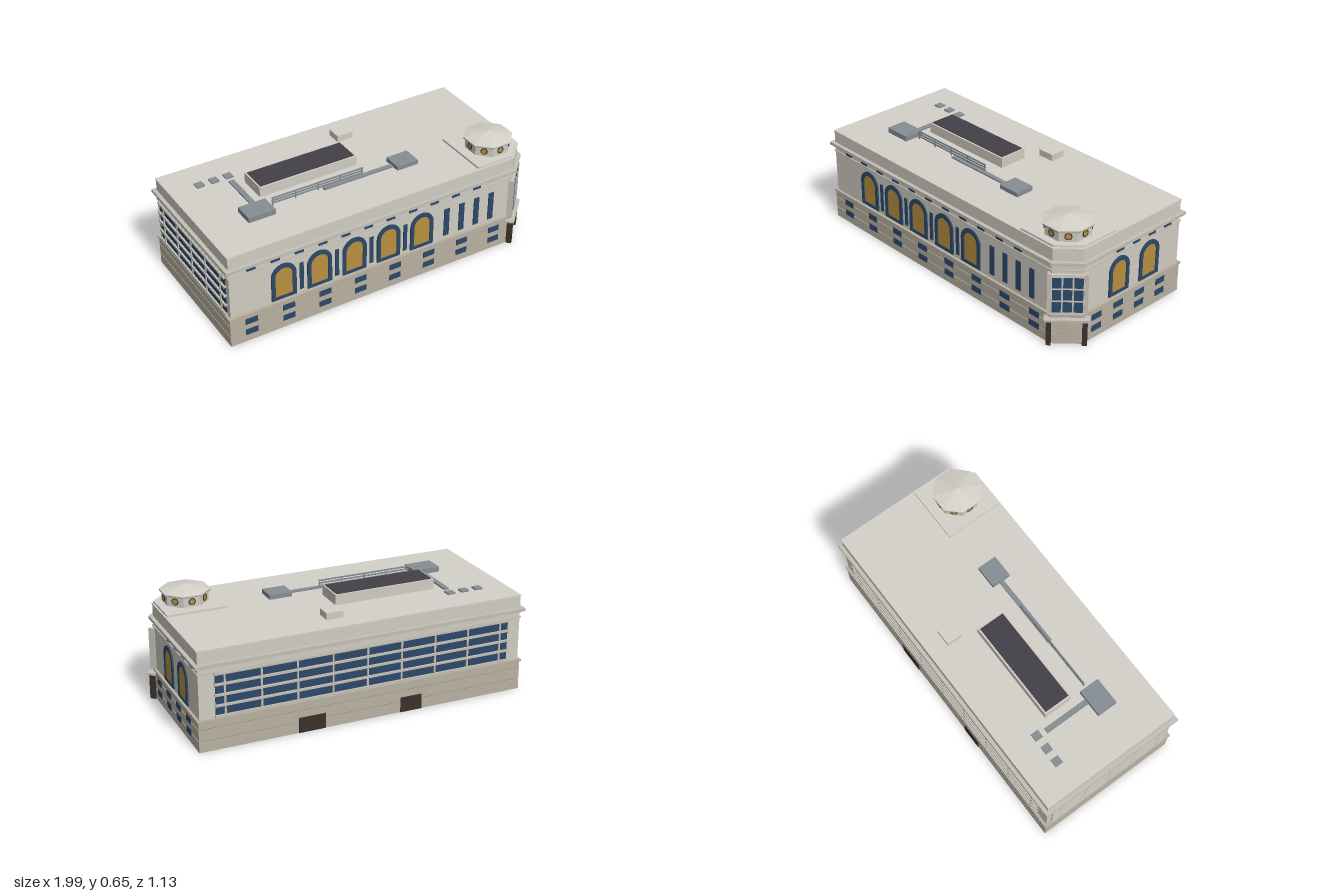
import * as THREE from 'three';

const C = { stone: 0xd0ccc2, base: 0xb9b1a1, groove: 0x8f8878, trim: 0xc4c0b6, roof: 0xd4d1c9, blue: 0x2c4869,
  gold: 0xb88f3e, dark: 0x434147, steel: 0x868d94, door: 0x39302a };
const mats = {};
const mat = (c) => (mats[c] ??= new THREE.MeshStandardMaterial({ color: C[c], flatShading: true }));

function add(parent, name, geo, color, x = 0, y = 0, z = 0) {
  const m = new THREE.Mesh(geo, mat(color));
  m.name = name;
  m.position.set(x, y, z);
  parent.add(m);
  return m;
}
// box given by its centre in x and z and its bottom and top
const box = (p, name, color, x, z, w, d, y0, y1) =>
  add(p, name, new THREE.BoxGeometry(w, y1 - y0, d), color, x, (y0 + y1) / 2, z);

// horizontal slab from [x, z] corners
function slab(p, name, color, pts, y0, y1) {
  const shape = new THREE.Shape(pts.map(([x, z]) => new THREE.Vector2(x, -z)));
  const g = new THREE.ExtrudeGeometry(shape, { depth: y1 - y0, bevelEnabled: false });
  return add(p, name, g.rotateX(-Math.PI / 2), color, 0, y0);
}
// rectangle with one cut corner at +x +z
const cutRect = (x0, x1, z0, z1, c) => [[x0, z1], [x1 - c, z1], [x1, z1 - c], [x1, z0], [x0, z0]];
const footprint = (i) => cutRect(-0.946 + i, 0.928 - i, -0.428 + i, 0.428 - i, 0.12 - 0.586 * i);

// arch outline standing on y0, with a round top
function archPath(Type, w, y0, y1) {
  const r = w / 2, s = new Type();
  s.moveTo(-r, y0);
  s.lineTo(r, y0);
  s.lineTo(r, y1 - r);
  s.absarc(0, y1 - r, r, 0, Math.PI, false);
  s.lineTo(-r, y0);
  return s;
}
function archWindow(p, x) {
  const frame = archPath(THREE.Shape, 0.143, 0.186, 0.4);
  frame.holes.push(archPath(THREE.Path, 0.1, 0.203, 0.376));
  const opts = (depth) => ({ depth, bevelEnabled: false, curveSegments: 16 });
  add(p, 'archFrame', new THREE.ExtrudeGeometry(frame, opts(0.012)), 'blue', x, 0, -0.004);
  add(p, 'archPane', new THREE.ExtrudeGeometry(archPath(THREE.Shape, 0.104, 0.2, 0.378), opts(0.007)), 'gold', x, 0, -0.004);
}
const pane = (p, name, x, w, y0, y1, out = 0) => box(p, name, 'blue', x, out, w, 0.01, y0, y1);

// group lying on a wall: local +z points outward
function wall(p, name, angle, dist) {
  const g = new THREE.Group();
  g.name = name;
  g.rotation.y = angle;
  g.position.set(Math.sin(angle) * dist, 0, Math.cos(angle) * dist);
  p.add(g);
  return g;
}

// large glazed wall with sills and mullions
function glazing(p, x0, x1, columns) {
  const mid = (x0 + x1) / 2, w = x1 - x0;
  pane(p, 'curtainGlass', mid, w, 0.185, 0.42);
  for (let i = 0; i <= 4; i++) {
    const y = 0.185 + i * 0.0575;
    box(p, 'sillBar', 'trim', mid, 0.006, w + 0.01, 0.018, y - 0.006, y + 0.006);
  }
  for (let i = 0; i <= columns; i++) {
    const x = x0 + 0.05 + (w - 0.1) * i / columns;
    box(p, 'mullion', 'trim', x, 0.005, 0.01, 0.012, 0.185, 0.42);
  }
}

export function createModel() {
  const model = new THREE.Group();
  model.name = 'building';
  const b = new THREE.Group();
  b.name = 'rotatedBlock';
  b.rotation.y = 0.1527;
  model.add(b);

  // masonry layers from bottom to top: name, colour, inset, y0, y1
  [
    ['baseCourse', 'base', 0.012, 0, 0.058],
    ['baseGroove', 'groove', 0.016, 0.058, 0.063],
    ['baseCourse', 'base', 0.012, 0.063, 0.122],
    ['baseGroove', 'groove', 0.016, 0.122, 0.127],
    ['baseCourse', 'base', 0.012, 0.127, 0.165],
    ['beltMoulding', 'base', 0.006, 0.165, 0.175],
    ['upperWall', 'stone', 0.021, 0.175, 0.42],
    ['friezeLedge', 'trim', 0.015, 0.42, 0.426],
    ['frieze', 'stone', 0.021, 0.426, 0.452],
    ['corniceBed', 'trim', 0.01, 0.452, 0.459],
    ['cornice', 'trim', 0, 0.459, 0.476],
    ['parapet', 'stone', 0.021, 0.476, 0.542],
    ['parapetCap', 'roof', 0.018, 0.542, 0.549],
  ].forEach(([n, c, i, y0, y1]) => slab(b, n, c, footprint(i), y0, y1));

  // front wall
  const front = wall(b, 'frontWall', 0, 0.407);
  for (let i = 0; i < 5; i++) {
    const x = -0.62 + i * 0.2083;
    archWindow(front, x);
    if (i < 4) pane(front, 'narrowWindow', x + 0.104, 0.022, 0.2, 0.365);
  }
  for (let i = 0; i < 4; i++) pane(front, 'slitWindow', 0.373 + i * 0.0967, 0.033, 0.2, 0.37);
  for (let i = 0; i < 11; i++) pane(front, 'friezeWindow', -0.8 + i * 0.1363, 0.05, 0.43, 0.45);
  for (let i = 0; i < 8; i++)
    for (const y of [0.042, 0.108]) pane(front, 'baseWindow', -0.813 + i * 0.2146, 0.07, y, y + 0.034, 0.007);

  // right wall
  const right = wall(b, 'sideWallRight', Math.PI / 2, 0.907);
  [-0.044, 0.179].forEach((x) => archWindow(right, x));
  for (let i = 0; i < 4; i++) {
    pane(right, 'friezeWindow', -0.042 + i * 0.118, 0.05, 0.43, 0.45);
    for (const y of [0.042, 0.108]) pane(right, 'baseWindow', -0.206 + i * 0.158, 0.067, y, y + 0.034, 0.007);
  }

  // back and left walls
  const back = wall(b, 'backWall', Math.PI, 0.407);
  glazing(back, -0.82, 0.85, 8);
  box(back, 'serviceDoor', 'door', -0.3, 0.007, 0.15, 0.01, 0, 0.085);
  box(back, 'serviceDoor', 'door', 0.27, 0.007, 0.125, 0.01, 0, 0.085);
  glazing(wall(b, 'sideWallLeft', -Math.PI / 2, 0.925), -0.375, 0.375, 4);

  // corner bay and entrance, centred on the cut corner
  const corner = wall(b, 'cornerEntrance', Math.PI / 4, 0.858);
  const mid = 0.355;
  box(corner, 'bayFrame', 'stone', mid, 0, 0.165, 0.014, 0.175, 0.405);
  for (let i = -1; i <= 1; i++)
    for (let j = 0; j < 3; j++) pane(corner, 'bayWindow', mid + i * 0.054, 0.045, 0.19 + j * 0.07, 0.248 + j * 0.07, 0.006);
  for (const s of [-1, 1]) {
    box(corner, 'bayPilaster', 'trim', mid + s * 0.092, -0.003, 0.018, 0.032, 0.175, 0.41);
    box(corner, 'bayMullion', 'trim', mid + s * 0.027, 0.009, 0.008, 0.014, 0.185, 0.395);
    box(corner, 'entrancePost', 'door', mid + s * 0.09, 0.006, 0.026, 0.032, 0, 0.142);
  }
  box(corner, 'canopy', 'trim', mid, 0.005, 0.232, 0.05, 0.147, 0.155);
  box(corner, 'canopySoffit', 'base', mid, 0.003, 0.215, 0.045, 0.138, 0.147);

  // octagonal lantern on its platform
  slab(b, 'lanternPlatform', 'roof', cutRect(0.571, 0.9, 0.068, 0.4, 0.105), 0.549, 0.56);
  const lantern = new THREE.Group();
  lantern.name = 'lantern';
  lantern.position.set(0.742, 0, 0.244);
  b.add(lantern);
  const oct = (name, color, r0, r1, y0, y1) =>
    add(lantern, name, new THREE.CylinderGeometry(r1, r0, y1 - y0, 8).rotateY(Math.PI / 8), color, 0, (y0 + y1) / 2);
  oct('lanternDrum', 'stone', 0.124, 0.124, 0.56, 0.616);
  oct('lanternEave', 'trim', 0.134, 0.136, 0.613, 0.624);
  oct('lanternRoof', 'roof', 0.136, 0.001, 0.624, 0.651);
  for (let i = 0; i < 8; i++) {
    const f = wall(lantern, 'lanternFace', i * Math.PI / 4, 0.1146);
    const disc = (r, d) => new THREE.CylinderGeometry(r, r, d, 20).rotateX(Math.PI / 2);
    add(f, 'roundPane', disc(0.016, 0.006), 'gold', 0, 0.59);
    add(f, 'roundFrame', new THREE.TorusGeometry(0.017, 0.003, 6, 20), 'door', 0, 0.59, 0.002);
  }

  // rooftop plant
  const roofY = 0.549;
  box(b, 'skylightHousing', 'stone', -0.25, -0.052, 0.582, 0.166, roofY, 0.606);
  box(b, 'skylightTop', 'dark', -0.25, -0.052, 0.562, 0.146, 0.6, 0.61);
  for (let i = 0; i < 3; i++) box(b, 'screenRail', 'steel', -0.252, 0.129, 0.545, 0.005, 0.56 + i * 0.015, 0.568 + i * 0.015);
  for (let i = 0; i < 5; i++) box(b, 'screenPost', 'steel', -0.52 + i * 0.134, 0.129, 0.006, 0.004, roofY, 0.598);
  box(b, 'airUnit', 'steel', -0.62, 0.147, 0.155, 0.115, roofY, 0.578);
  box(b, 'airUnit', 'steel', 0.262, 0.136, 0.13, 0.11, roofY, 0.573);
  box(b, 'duct', 'steel', -0.6, -0.04, 0.03, 0.27, roofY, 0.557);
  box(b, 'duct', 'steel', -0.01, 0.138, 0.43, 0.026, roofY, 0.557);
  for (let i = 0; i < 3; i++) box(b, 'vent', 'steel', -0.759 + i * 0.0835, -0.227, 0.045, 0.045, roofY, 0.557);
  box(b, 'stairHead', 'stone', 0.121, -0.26, 0.095, 0.085, roofY, 0.584);
  box(b, 'stairHeadCap', 'roof', 0.121, -0.26, 0.1, 0.09, 0.584, 0.588);

  return model;
}
